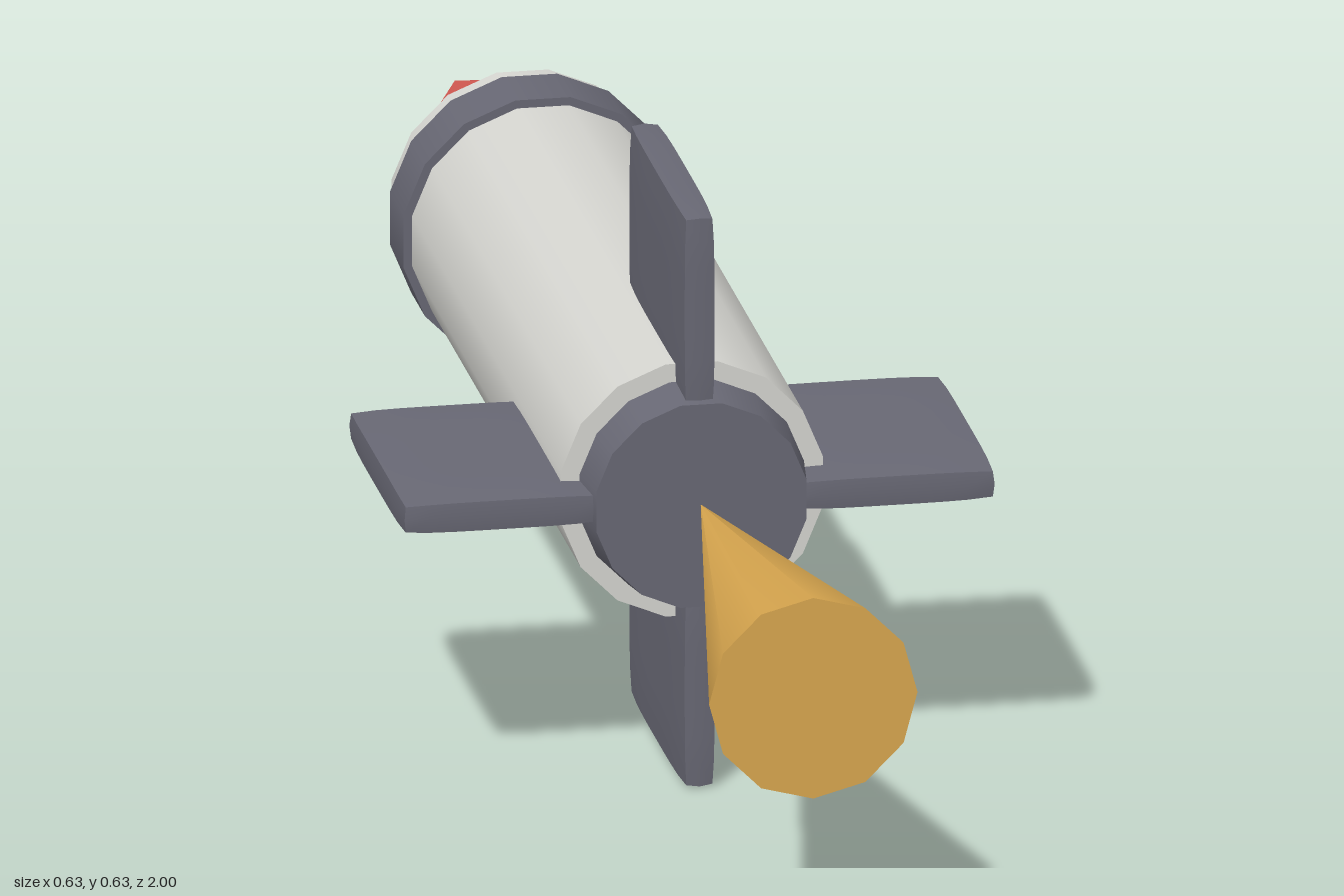
import * as THREE from 'three';
import { toCreasedNormals } from 'three/addons/utils/BufferGeometryUtils.js';

const AXIS_Y = 0.316;

function material(name, color) {
  const m = new THREE.MeshStandardMaterial({ color });
  m.name = name;
  return m;
}

// Round section along z, from the nose side (zBack) to the tail side (zFront)
function section(name, mat, rBack, rFront, zBack, zFront, sides = 16, turn = Math.PI / 16) {
  const geo = new THREE.CylinderGeometry(rFront, rBack, zFront - zBack, sides);
  geo.rotateY(turn).rotateX(Math.PI / 2).translate(0, 0, (zBack + zFront) / 2);
  const mesh = new THREE.Mesh(geo, mat);
  mesh.name = name;
  return mesh;
}

// Cushioned plate: thickest in the middle, thinning toward softened edges
function finGeometry() {
  const inner = 0.1, outer = 0.313, zBack = 0.056, zFront = 0.368;
  const w = outer - inner, d = zFront - zBack, half = 0.0185;
  const geo = new THREE.BoxGeometry(w, half * 2, d, 8, 2, 8);
  const p = geo.attributes.position;
  for (let i = 0; i < p.count; i++) {
    const u = Math.abs(p.getX(i)) / (w / 2);
    const v = Math.abs(p.getZ(i)) / (d / 2);
    const face = Math.abs(p.getY(i)) / half;
    p.setY(i, p.getY(i) * (1 - 0.12 * u ** 4) * (1 - 0.15 * v ** 4));
    // Round the rim and the four corners slightly
    p.setX(i, p.getX(i) * (1 - 0.015 * face - 0.015 * v ** 6));
    p.setZ(i, p.getZ(i) * (1 - 0.012 * face - 0.012 * u ** 6));
  }
  geo.translate((inner + outer) / 2, 0, (zBack + zFront) / 2);
  return toCreasedNormals(geo, 0.7);
}

export function createModel() {
  const white = material('hull white', 0xd6d6d1);
  const grey = material('dark grey', 0x686874);
  const red = material('nose red', 0xdc5d55);
  const gold = material('flame gold', 0xd9a74f);

  const rocket = new THREE.Group();
  rocket.name = 'rocket';
  rocket.position.y = AXIS_Y;

  rocket.add(
    section('noseCone', red, 0, 0.132, -1, -0.622),
    section('body', white, 0.141, 0.141, -0.623, 0.322),
    section('collar', grey, 0.15, 0.15, -0.583, -0.507),
    section('nozzle', grey, 0.121, 0.113, 0.32, 0.376),
    section('flame', gold, 0, 0.11, 0.372, 1, 12, 0)
  );

  // Four fins around the tail
  const geo = finGeometry();
  for (let i = 0; i < 4; i++) {
    const fin = new THREE.Mesh(geo, grey);
    fin.name = 'fin' + (i + 1);
    fin.rotation.z = (i * Math.PI) / 2;
    rocket.add(fin);
  }

  const model = new THREE.Group();
  model.add(rocket);
  return model;
}
